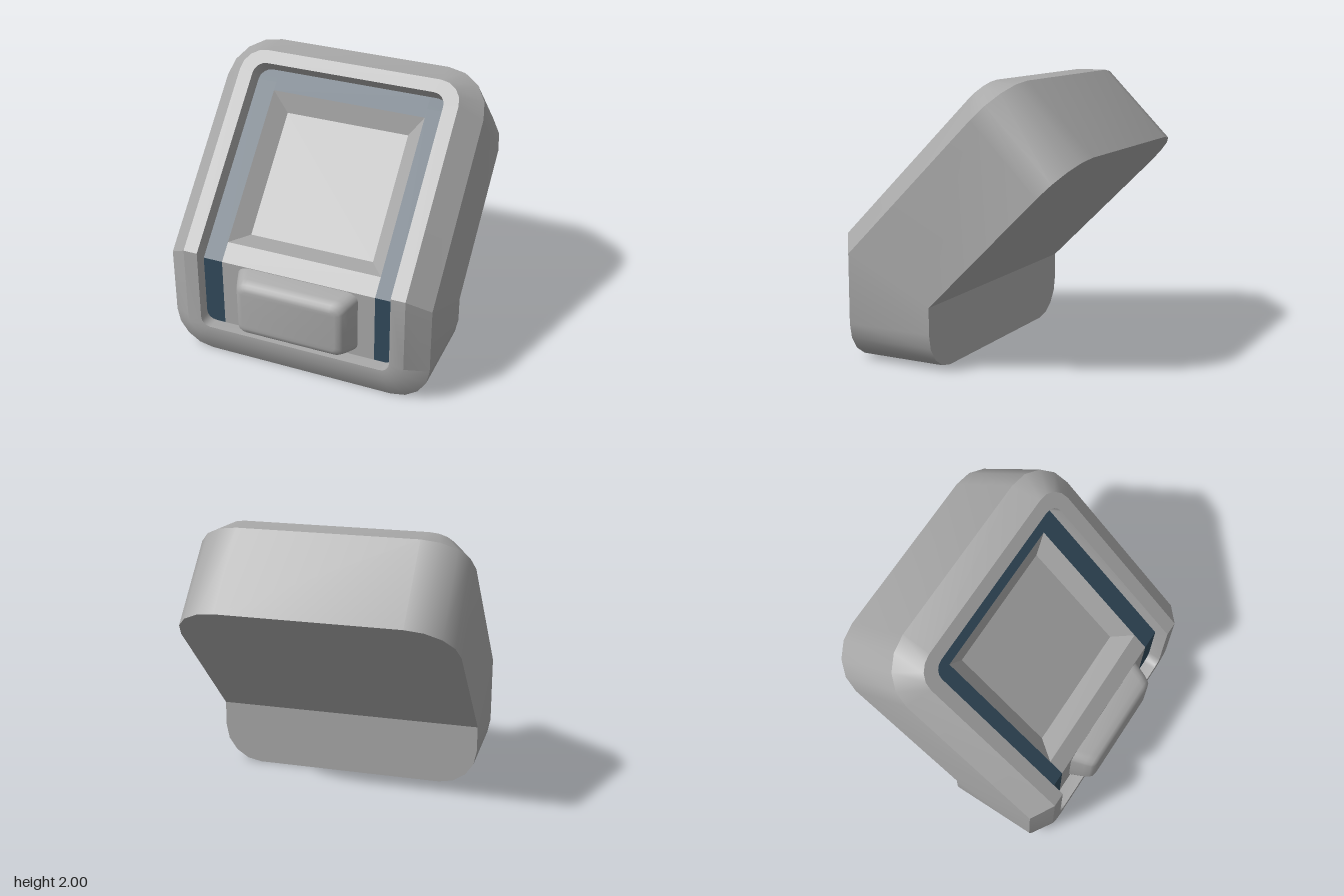
import * as THREE from 'three';
import { toCreasedNormals } from 'three/addons/utils/BufferGeometryUtils.js';

const ARC = 4; // segments per rounded corner

// Closed loop of a rounded rectangle whose part above y = bend leans back at 45 degrees.
// Runs up the right side, then down the left.
function bentLoop({ z, bend, w, bottom, top, rb, rt }) {
  const half = [];
  const add = (x, y) => half.push([x, y, y > bend ? z - (y - bend) : z]);
  for (let i = 0; i <= ARC; i++) {
    const a = (i / ARC) * Math.PI / 2;
    add(w - rb + rb * Math.sin(a), bottom + rb * (1 - Math.cos(a)));
  }
  add(w, bend);
  for (let i = 0; i <= ARC; i++) {
    const a = (i / ARC) * Math.PI / 2;
    add(w - rt + rt * Math.cos(a), top - rt * Math.SQRT1_2 * (1 - Math.sin(a)));
  }
  return [...half, ...half.map(([x, y, pz]) => [-x, y, pz]).reverse()];
}

const quad = (out, a, b, c, d) => out.push(...a, ...b, ...c, ...a, ...c, ...d);

// Quads between successive loops
function skin(out, loops) {
  for (let k = 0; k + 1 < loops.length; k++) {
    const A = loops[k], B = loops[k + 1], n = A.length;
    for (let i = 0; i < n; i++) {
      const j = (i + 1) % n;
      quad(out, A[i], A[j], B[j], B[i]);
    }
  }
}

// Close a loop with strips from its right side to its left side
function cap(out, L, front) {
  const n = L.length;
  for (let i = 0; i < n / 2 - 1; i++) {
    const a = L[i], b = L[i + 1], c = L[n - 2 - i], d = L[n - 1 - i];
    if (front) quad(out, a, b, c, d);
    else quad(out, a, d, c, b);
  }
}

function mesh(name, positions, material, crease = 0.6) {
  const g = new THREE.BufferGeometry();
  g.setAttribute('position', new THREE.Float32BufferAttribute(positions, 3));
  const m = new THREE.Mesh(toCreasedNormals(g, crease), material);
  m.name = name;
  return m;
}

export function createModel() {
  const grey = new THREE.MeshStandardMaterial({ color: 0xa8a8a8 });
  grey.name = 'greyCasing';
  const blue = new THREE.MeshStandardMaterial({ color: 0x31495a });
  blue.name = 'darkBlueTrim';
  const group = new THREE.Group();
  group.name = 'bentConsole';

  // Casing: back, edge of the bevel, rim outside, rim inside, recess floor
  const loops = [
    { z: 0.11, bend: 0.47, w: 0.985, bottom: 0, top: 1.52, rb: 0.28, rt: 0.34 },
    { z: 0.76, bend: 0.78, w: 0.985, bottom: 0, top: 2, rb: 0.28, rt: 0.34 },
    { z: 0.87, bend: 0.89, w: 0.83, bottom: 0.19, top: 2, rb: 0.14, rt: 0.17 },
    { z: 0.87, bend: 0.89, w: 0.725, bottom: 0.275, top: 1.93, rb: 0.07, rt: 0.09 },
    { z: 0.775, bend: 0.8, w: 0.725, bottom: 0.275, top: 1.84, rb: 0.07, rt: 0.09 },
  ].map(bentLoop);
  const casing = [];
  skin(casing, loops);
  cap(casing, loops[0], false);
  group.add(mesh('casing', casing, grey));

  // Recess face: point at x, y on the bent plane
  const face = (x, y) => [x, y, y > 0.8 ? 0.775 - (y - 0.8) : 0.775];
  const bar = (out, w, y0, y1) =>
    quad(out, face(-w, y0), face(w, y0), face(w, y1), face(-w, y1));
  const W = 0.58, LOW = 0.905, HIGH = 1.73;

  // Blue trim down both sides and across the top
  const trim = [], floor = loops[4], n = floor.length;
  for (let i = 0; i < n - 1; i++) {
    if (i === n / 2 - 1) continue;
    const a = floor[i], b = floor[i + 1], x = Math.sign(a[0]) * W;
    quad(trim, a, b, face(x, b[1]), face(x, a[1]));
  }
  bar(trim, W, HIGH, 1.84);
  group.add(mesh('screenTrim', trim, blue));

  // Lower panel, bending into the screen sill
  const panel = [];
  bar(panel, W, 0.275, 0.8);
  bar(panel, W, 0.8, LOW);
  group.add(mesh('lowerPanel', panel, grey));

  // Sunken screen with sloping sides
  const outer = [face(W, LOW), face(W, HIGH), face(-W, HIGH), face(-W, LOW)];
  const s = 0.467;
  const inner = [[s, 0.91, 0.525], [s, 1.575, -0.14], [-s, 1.575, -0.14], [-s, 0.91, 0.525]];
  const screen = [];
  skin(screen, [outer, inner]);
  cap(screen, inner, true);
  group.add(mesh('screen', screen, grey, 0.2));

  // Rounded front button: rows of z, half width, half height, corner radius
  const button = [];
  const rows = [
    [0.775, 0.455, 0.243, 0.06], [0.87, 0.42, 0.222, 0.06], [0.915, 0.4, 0.205, 0.06],
    [0.934, 0.382, 0.188, 0.05], [0.943, 0.35, 0.16, 0.03],
  ].map(([z, w, h, r]) => bentLoop({
    z, bend: 0.553, w, bottom: 0.553 - h, top: 0.553 + h, rb: r, rt: r * Math.SQRT2,
  }).map(([x, y]) => [x, y, z]));
  skin(button, rows);
  cap(button, rows[rows.length - 1], true);
  group.add(mesh('button', button, grey, 0.8));

  return group;
}
